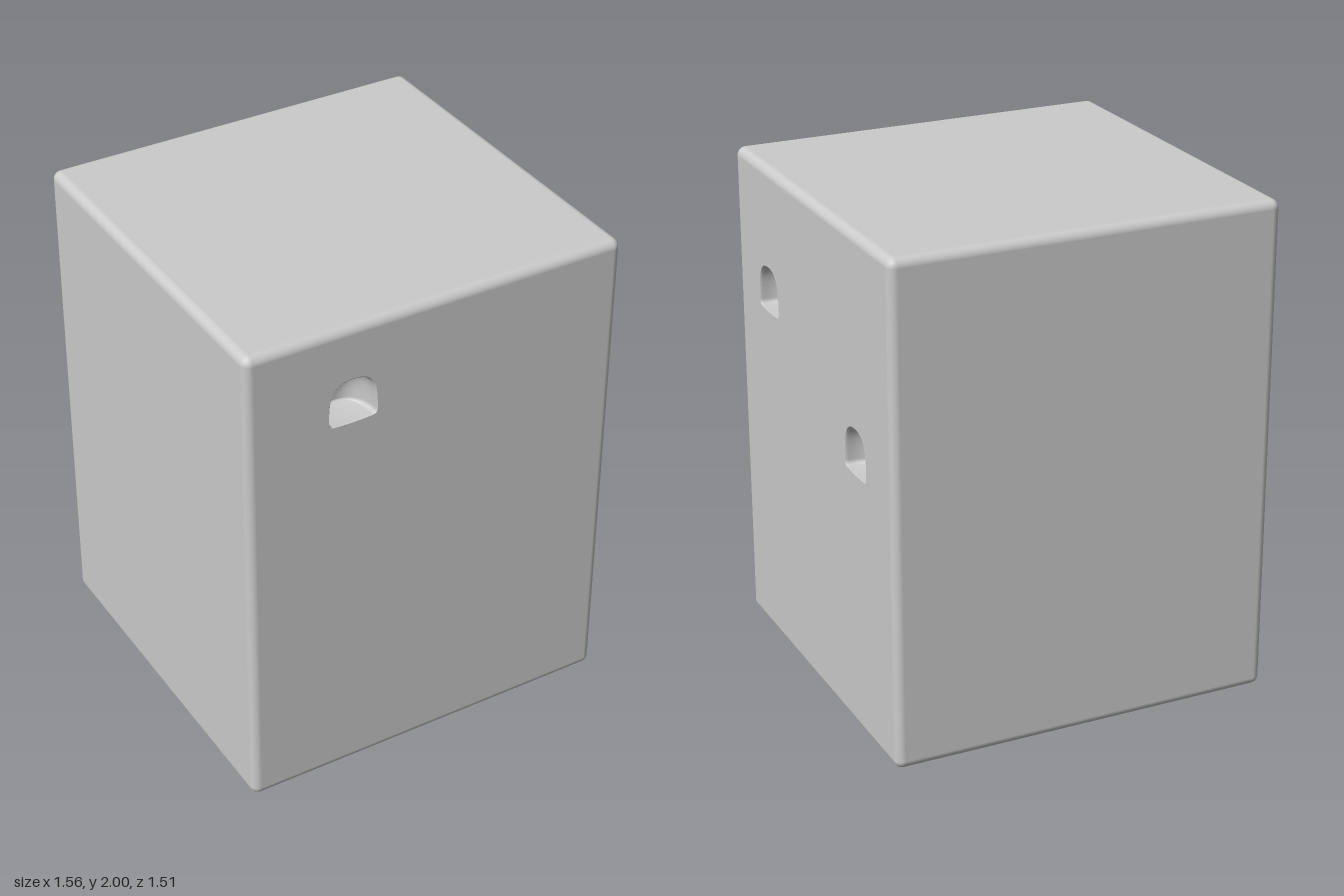
import * as THREE from 'three';
import { RoundedBoxGeometry } from 'three/addons/geometries/RoundedBoxGeometry.js';
import { mergeVertices } from 'three/addons/utils/BufferGeometryUtils.js';

const W = 1.56, H = 2, D = 1.51, R = 0.035;
const material = new THREE.MeshStandardMaterial({ color: 0xcccccc });

// Rounded block without its flat front (+z) and left (+x) panels
function blockGeometry() {
  const source = new RoundedBoxGeometry(W, H, D, 5, R);
  const box = source.index ? source.toNonIndexed() : source;
  const p = box.attributes.position, n = box.attributes.normal;
  const pos = [], nor = [];
  for (let i = 0; i < p.count; i += 3) {
    const ids = [i, i + 1, i + 2];
    if (ids.every(k => p.getZ(k) > D / 2 - 1e-5) || ids.every(k => p.getX(k) > W / 2 - 1e-5)) continue;
    for (const k of ids) {
      pos.push(p.getX(k), p.getY(k), p.getZ(k));
      nor.push(n.getX(k), n.getY(k), n.getZ(k));
    }
  }
  const g = new THREE.BufferGeometry();
  g.setAttribute('position', new THREE.Float32BufferAttribute(pos, 3));
  g.setAttribute('normal', new THREE.Float32BufferAttribute(nor, 3));
  return g;
}

// Arched opening, flat at the bottom, counter-clockwise, base centre at the origin
function archPoints() {
  const s = new THREE.Shape();
  s.moveTo(-0.08, 0.002);
  s.quadraticCurveTo(0, -0.004, 0.08, 0.002);
  s.quadraticCurveTo(0.1, 0.004, 0.1, 0.025);
  s.bezierCurveTo(0.1, 0.13, 0.09, 0.185, 0, 0.185);
  s.bezierCurveTo(-0.09, 0.185, -0.1, 0.13, -0.1, 0.025);
  s.quadraticCurveTo(-0.1, 0.004, -0.08, 0.002);
  const pts = s.getPoints(12);
  pts.pop();
  return pts;
}
const arch = archPoints();

// Hollow with a soft lip and a rounded back, made of shrinking arch loops
function nicheGeometry() {
  const depth = 0.13, steps = 12, rings = [[1, 0], [0.975, 0.003], [0.96, 0.012]];
  for (let i = 1; i <= steps; i++) {
    const t = (i / steps) * Math.PI / 2;
    rings.push([0.96 * Math.pow(Math.cos(t), 0.8), 0.012 + (depth - 0.012) * Math.sin(t)]);
  }
  const pos = [], idx = [], n = arch.length, cy = 0.02;
  for (const [s, d] of rings) for (const q of arch) pos.push(q.x * s, cy + (q.y - cy) * s, -d);
  for (let r = 0; r < rings.length - 1; r++) {
    for (let j = 0; j < n; j++) {
      const a = r * n + j, b = r * n + (j + 1) % n;
      idx.push(a, b, a + n, b, b + n, a + n);
    }
  }
  let g = new THREE.BufferGeometry();
  g.setAttribute('position', new THREE.Float32BufferAttribute(pos, 3));
  g.setIndex(idx);
  g = mergeVertices(g, 1e-5);
  g.computeVertexNormals();
  return g;
}

// Flat panel facing +z, pierced by niches at the given [x, base y] places
function nichePanel(name, width, places) {
  const group = new THREE.Group();
  group.name = name;
  const w = width / 2 - R;
  const shape = new THREE.Shape([[-w, R], [w, R], [w, H - R], [-w, H - R]].map(c => new THREE.Vector2(...c)));
  for (const [x, y] of places) {
    shape.holes.push(new THREE.Path(arch.map(q => new THREE.Vector2(q.x + x, q.y + y))));
    const niche = new THREE.Mesh(nicheGeometry(), material);
    niche.name = 'niche';
    niche.position.set(x, y, 0);
    group.add(niche);
  }
  const panel = new THREE.Mesh(new THREE.ShapeGeometry(shape), material);
  panel.name = 'panel';
  group.add(panel);
  return group;
}

export function createModel() {
  const model = new THREE.Group();
  model.name = 'blockWithNiches';

  const block = new THREE.Mesh(blockGeometry(), material);
  block.name = 'block';
  block.position.y = H / 2;
  model.add(block);

  // Front face with one niche
  const front = nichePanel('frontFace', W, [[-0.35, 1.6]]);
  front.position.z = D / 2;
  model.add(front);

  // Left side face with two niches; its local x runs along -z
  const side = nichePanel('leftFace', D, [[-0.43, 1.415], [0.415, 1.065]]);
  side.rotation.y = Math.PI / 2;
  side.position.x = W / 2;
  model.add(side);

  return model;
}
